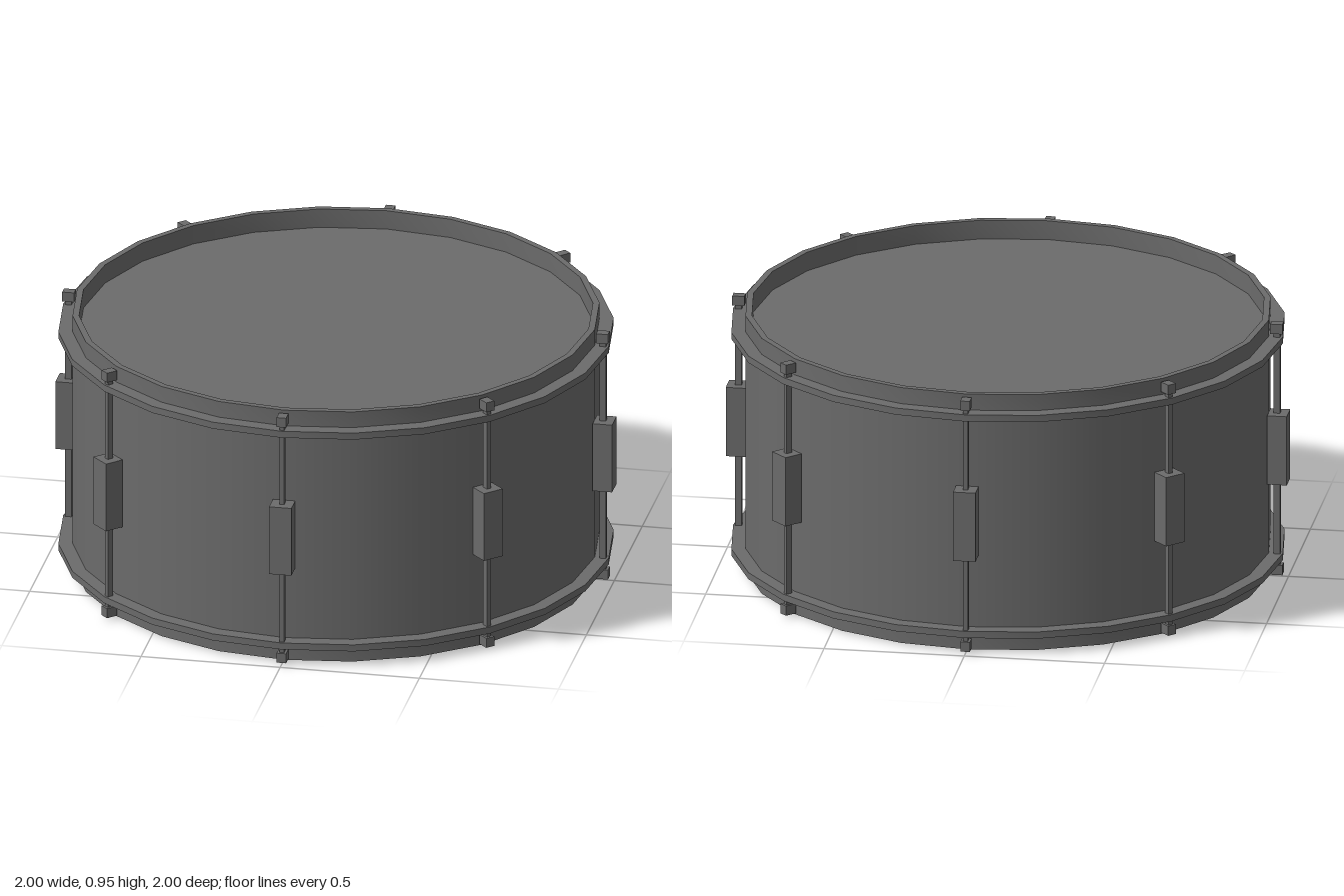
import * as THREE from 'three';
import { toCreasedNormals } from 'three/addons/utils/BufferGeometryUtils.js';

const HEIGHT = 0.955;
const SIDES = 24;
const LUGS = 8;

export function createModel() {
  const model = new THREE.Group();
  model.name = 'drum';
  const material = new THREE.MeshStandardMaterial({ color: 0x6b6b6b });

  const add = (parent, name, geometry, x = 0, y = 0, z = 0) => {
    const mesh = new THREE.Mesh(geometry, material);
    mesh.name = name;
    mesh.position.set(x, y, z);
    parent.add(mesh);
  };

  // Shell between the two hoops
  add(model, 'shell', new THREE.CylinderGeometry(0.93, 0.93, 0.79, SIDES, 1, true), 0, HEIGHT / 2, 0);

  // Hoop: upright rim with a flange, and a recessed head inside it
  const hoopProfile = [
    [0.907, 0.87], [0.98, 0.87], [0.98, 0.895], [0.93, 0.895],
    [0.93, HEIGHT], [0.907, HEIGHT], [0.907, 0.87],
  ].map(([r, y]) => new THREE.Vector2(r, y - HEIGHT / 2));
  const hoop = toCreasedNormals(new THREE.LatheGeometry(hoopProfile, SIDES), 0.5);
  const head = new THREE.CircleGeometry(0.91, SIDES).rotateX(-Math.PI / 2);

  for (const [side, turn] of [['top', 0], ['bottom', Math.PI]]) {
    const end = new THREE.Group();
    end.name = side + 'End';
    end.position.y = HEIGHT / 2;
    end.rotation.x = turn;
    add(end, side + 'Hoop', hoop);
    add(end, side + 'Head', head, 0, 0.885 - HEIGHT / 2, 0);
    model.add(end);
  }

  // Lugs with flat tension rods and their square bolt heads
  const lugBox = new THREE.BoxGeometry(0.08, 0.257, 0.07);
  const rod = new THREE.BoxGeometry(0.017, 0.88, 0.023);
  const boltBox = new THREE.BoxGeometry(0.034, 0.036, 0.043);
  for (let i = 0; i < LUGS; i++) {
    const station = new THREE.Group();
    station.name = 'lugStation' + (i + 1);
    station.rotation.y = (i / LUGS) * Math.PI * 2;
    add(station, 'lug', lugBox, 0, 0.4825, 0.965);
    add(station, 'tensionRod', rod, 0, HEIGHT / 2, 0.96);
    add(station, 'topBolt', boltBox, 0, 0.928, 0.959);
    add(station, 'bottomBolt', boltBox, 0, HEIGHT - 0.928, 0.959);
    model.add(station);
  }
  return model;
}
